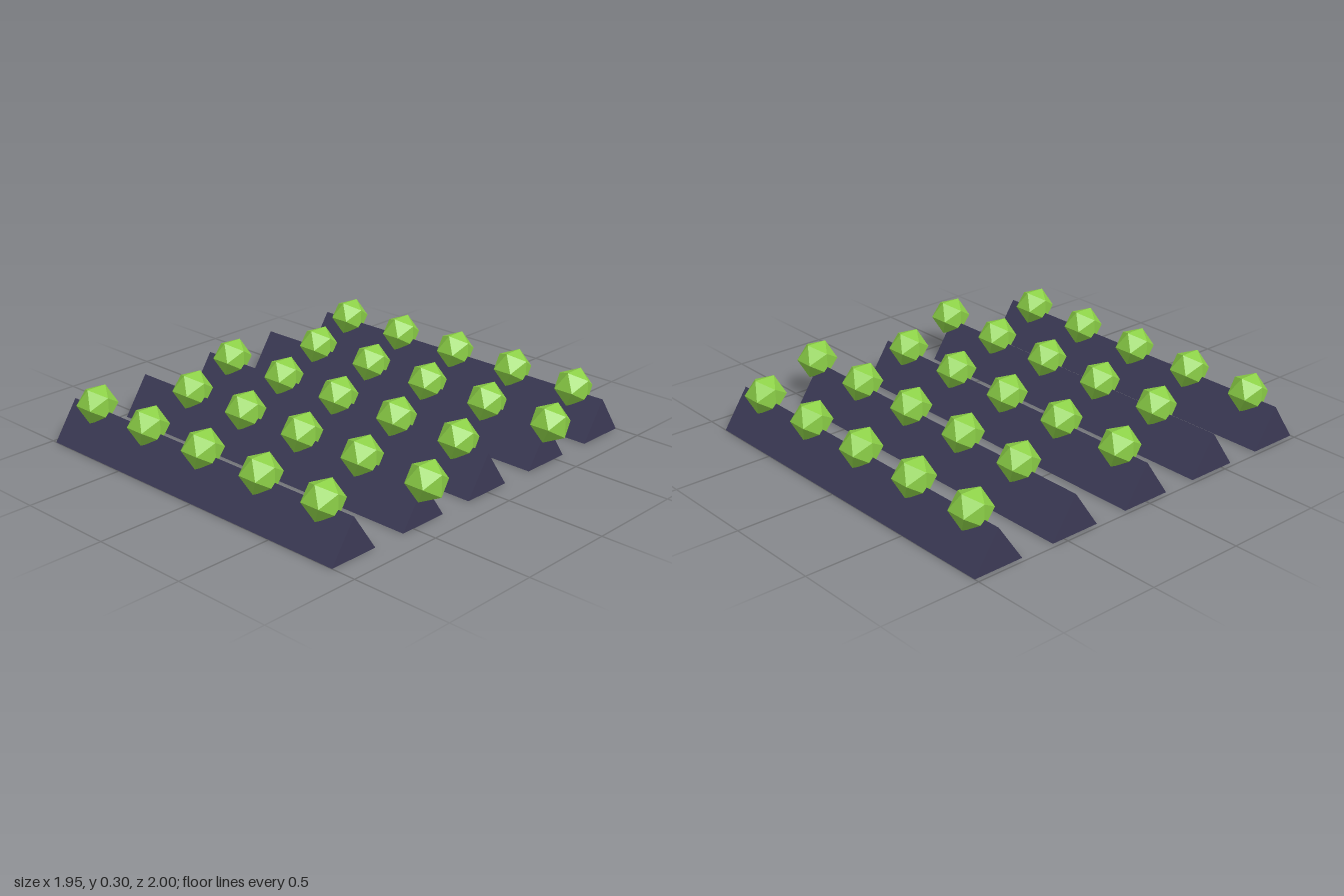
import * as THREE from 'three';

const ROWS = 5, PER_ROW = 5;
const ROW_PITCH = 0.435, STUD_PITCH = 0.376;
const BEAM_LENGTH = 1.85, BEAM_WIDTH = 0.26, BEAM_HEIGHT = 0.192;
const BEAM_START = -0.976, STUD_START = -0.804;
const STUD_RADIUS = 0.1, STUD_Y = 0.21;

// Triangular prism lying along x, standing on y = 0
function beamGeometry() {
  const section = new THREE.Shape([
    new THREE.Vector2(-BEAM_WIDTH / 2, 0),
    new THREE.Vector2(BEAM_WIDTH / 2, 0),
    new THREE.Vector2(0, BEAM_HEIGHT),
  ]);
  return new THREE.ExtrudeGeometry(section, { depth: BEAM_LENGTH, bevelEnabled: false })
    .rotateY(Math.PI / 2)
    .translate(BEAM_START, 0, 0);
}

export function createModel() {
  const model = new THREE.Group();
  model.name = 'studdedBeams';

  const navy = new THREE.MeshStandardMaterial({ color: 0x3c3a56 });
  navy.name = 'darkNavy';
  const green = new THREE.MeshStandardMaterial({ color: 0x8cd047 });
  green.name = 'leafGreen';

  const beamGeo = beamGeometry();
  // Twenty-sided stud with its top edge running along z
  const studGeo = new THREE.IcosahedronGeometry(STUD_RADIUS, 0).rotateY(Math.PI / 2);

  for (let r = 0; r < ROWS; r++) {
    const row = new THREE.Group();
    row.name = `row${r + 1}`;
    row.position.z = (r - (ROWS - 1) / 2) * ROW_PITCH;

    const beam = new THREE.Mesh(beamGeo, navy);
    beam.name = 'beam';
    row.add(beam);

    // Every second row is shifted by half a pitch
    const shift = (r % 2) * STUD_PITCH / 2;
    for (let i = 0; i < PER_ROW; i++) {
      const stud = new THREE.Mesh(studGeo, green);
      stud.name = `stud${i + 1}`;
      stud.position.set(STUD_START + shift + i * STUD_PITCH, STUD_Y, 0);
      row.add(stud);
    }
    model.add(row);
  }
  return model;
}
